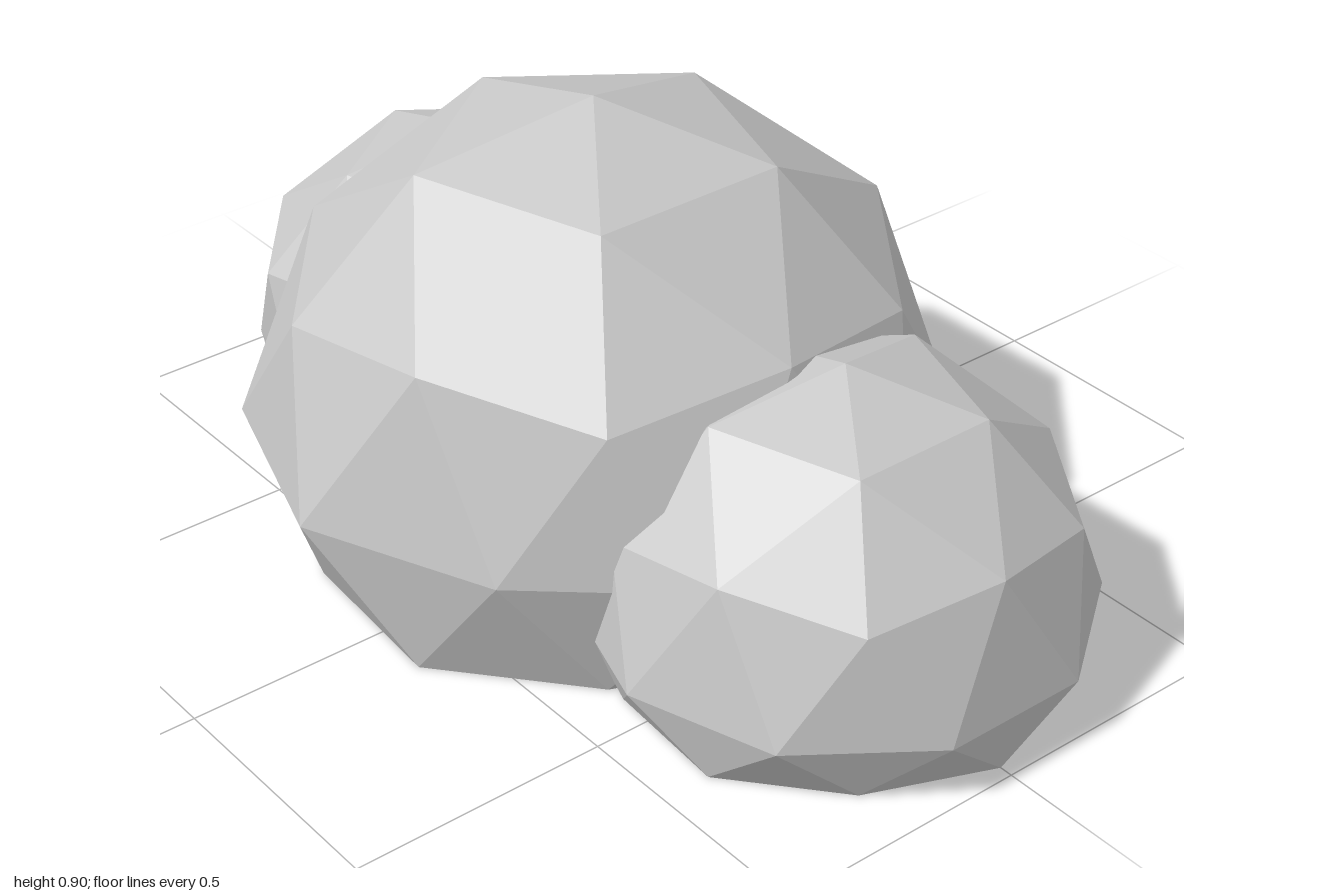
import * as THREE from 'three';

// Faceted boulder: a pole-up icosphere, flattened where it meets the ground.
// radiusAt(direction) gives the distance of each corner from the centre.
function boulder(name, [cx, cy, cz], radiusAt, material) {
  const geometry = new THREE.IcosahedronGeometry(1, 1);
  geometry.rotateZ(Math.atan(2 / (1 + Math.sqrt(5)))); // one corner straight up
  const pos = geometry.attributes.position;
  const d = new THREE.Vector3();
  for (let i = 0; i < pos.count; i++) {
    d.fromBufferAttribute(pos, i).normalize();
    const r = radiusAt(d);
    pos.setXYZ(i, cx + d.x * r, Math.max(0, cy + d.y * r), cz + d.z * r);
  }
  geometry.deleteAttribute('uv');
  geometry.computeVertexNormals();
  const mesh = new THREE.Mesh(geometry, material);
  mesh.name = name;
  return mesh;
}

export function createModel() {
  const group = new THREE.Group();
  group.name = 'rockCluster';
  const stone = new THREE.MeshStandardMaterial({ color: 0xc7c7c7, flatShading: true });
  stone.name = 'light grey stone';

  const onEquator = (d) => Math.abs(d.y) < 0.05;

  // Large middle rock, slightly wider round its waist and at its back shoulder
  const mainRadius = (d) => {
    if (onEquator(d)) return d.x > 0.5 && d.z > 0.5 ? 0.622 : 0.66;
    return d.y > 0.4 && d.z < -0.7 ? 0.66 : 0.637;
  };
  group.add(boulder('mainRock', [-0.05, 0.26, 0.07], mainRadius, stone));

  // Rocks on either side; the one at -x is slimmer round its waist
  group.add(boulder('leftRock', [0.55, 0.13, 0], () => 0.475, stone));
  group.add(boulder('rightRock', [-0.59, 0.13, -0.03], (d) => (onEquator(d) ? 0.425 : 0.46), stone));

  // Small rock behind
  group.add(boulder('backRock', [-0.11, 0.095, -0.345], () => 0.388, stone));

  return group;
}
